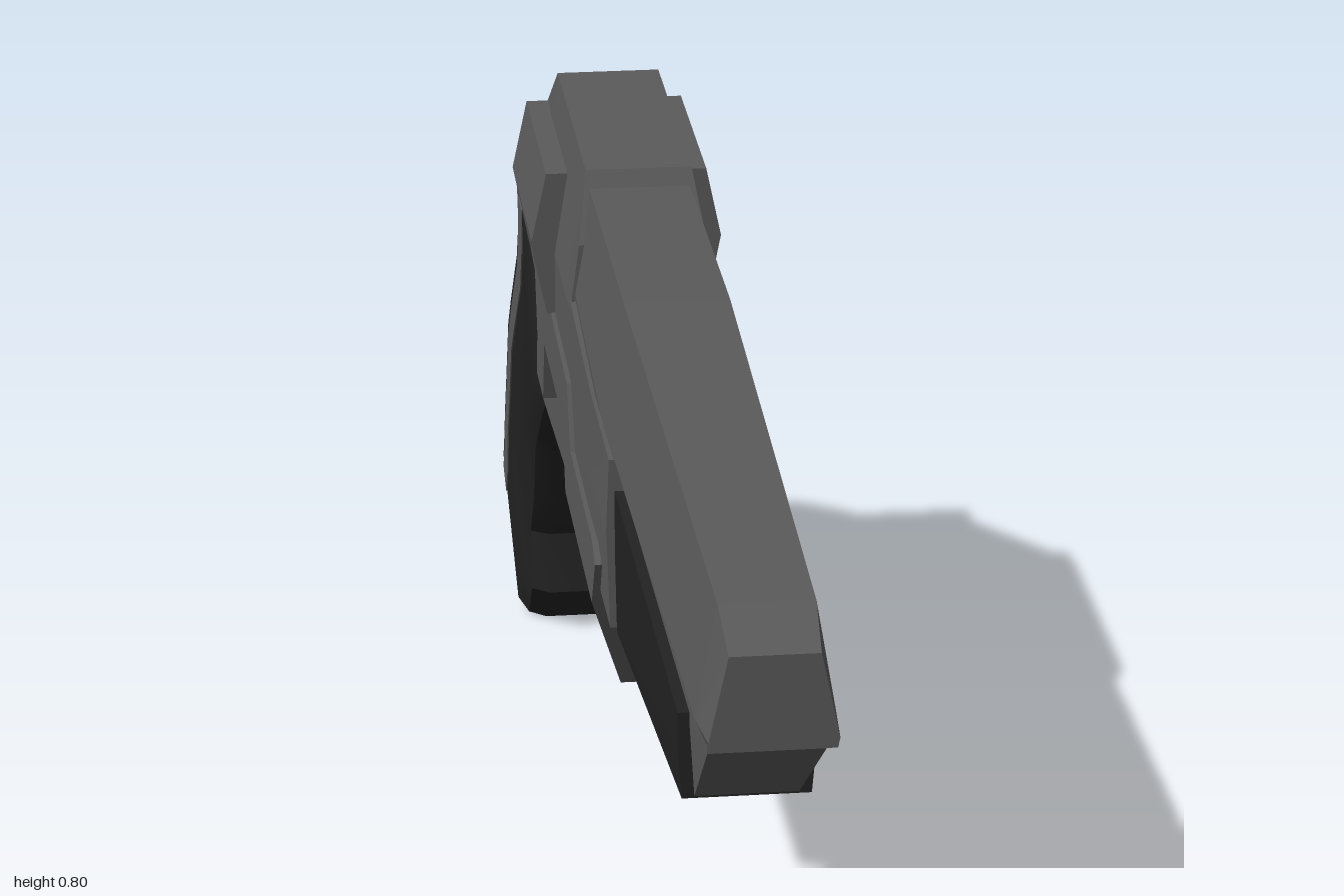
import * as THREE from 'three';
import { toCreasedNormals } from 'three/addons/utils/BufferGeometryUtils.js';

const metal = new THREE.MeshStandardMaterial({ color: 0x5a5a5a });
const black = new THREE.MeshStandardMaterial({ color: 0x222222 });

// Skin a list of equal-length rings (each counter-clockwise seen from the first end) and cap both ends.
function loft(rings) {
  const pos = [];
  const tri = (...pts) => pts.forEach((p) => pos.push(...p));
  const n = rings[0].length, last = rings[rings.length - 1];
  for (let i = 0; i < rings.length - 1; i++) {
    for (let j = 0; j < n; j++) {
      const k = (j + 1) % n;
      const a = rings[i][j], b = rings[i][k], c = rings[i + 1][k], d = rings[i + 1][j];
      tri(a, c, b);
      tri(a, d, c);
    }
  }
  for (let j = 1; j < n - 1; j++) {
    tri(rings[0][0], rings[0][j], rings[0][j + 1]);
    tri(last[0], last[j + 1], last[j]);
  }
  const geo = new THREE.BufferGeometry();
  geo.setAttribute('position', new THREE.Float32BufferAttribute(pos, 3));
  geo.computeVertexNormals();
  return geo;
}

// Six-sided section at z: half-width and height of its top, middle and bottom.
const section = (z, wt, yt, wm, ym, wb, yb) => [
  [-wb, yb, z], [wb, yb, z], [wm, ym, z], [wt, yt, z], [-wt, yt, z], [-wm, ym, z],
];
const sections = (rows) => loft(rows.map((r) => section(...r)));

// Side outline of [z, y] points given a half-width that may depend on height.
function plate(points, halfWidth) {
  const shape = new THREE.Shape(points.map(([z, y]) => new THREE.Vector2(z, y)));
  const geo = new THREE.ExtrudeGeometry(shape, { depth: 2, bevelEnabled: false });
  geo.translate(0, 0, -1).rotateY(-Math.PI / 2);
  const p = geo.attributes.position;
  for (let i = 0; i < p.count; i++) p.setX(i, Math.sign(p.getX(i)) * halfWidth(p.getY(i)));
  geo.computeVertexNormals();
  return geo;
}

export function createModel() {
  const model = new THREE.Group();
  model.name = 'pistol';
  const add = (name, geo, mat) => {
    const mesh = new THREE.Mesh(geo, mat);
    mesh.name = name;
    model.add(mesh);
  };

  // Tapered barrel with a chamfered muzzle
  add('barrel', sections([
    [1, 0.042, 0.755, 0.06, 0.67, 0.058, 0.66],
    [0.94, 0.045, 0.78, 0.065, 0.665, 0.055, 0.64],
    [0.22, 0.055, 0.793, 0.078, 0.665, 0.07, 0.635],
    [-0.15, 0.055, 0.787, 0.074, 0.68, 0.07, 0.62],
  ]), metal);

  // Core under the barrel with its sloping nose, and the dark fore-end around it
  add('underBarrel', sections([
    [0.95, 0.055, 0.65, 0.055, 0.642, 0.055, 0.635],
    [0.81, 0.055, 0.65, 0.055, 0.6, 0.05, 0.522],
    [0.25, 0.06, 0.65, 0.06, 0.6, 0.06, 0.46],
  ]), metal);
  add('foreEnd', sections([
    [0.81, 0.066, 0.61, 0.066, 0.57, 0.062, 0.52],
    [0.27, 0.07, 0.605, 0.07, 0.54, 0.068, 0.445],
  ]), black);

  // Receiver: low front part, then the raised rear with a sloping back
  add('receiverFront', sections([
    [0.27, 0.076, 0.64, 0.079, 0.56, 0.075, 0.45],
    [0.11, 0.08, 0.655, 0.081, 0.56, 0.081, 0.47],
    [-0.11, 0.08, 0.67, 0.081, 0.58, 0.081, 0.52],
  ]), metal);
  add('receiverRear', sections([
    [-0.105, 0.07, 0.735, 0.08, 0.66, 0.081, 0.52],
    [-0.15, 0.058, 0.805, 0.081, 0.66, 0.081, 0.52],
    [-0.48, 0.058, 0.805, 0.081, 0.66, 0.081, 0.52],
    [-0.72, 0.06, 0.625, 0.081, 0.6, 0.081, 0.55],
  ]), metal);

  // Ridged plates standing out on both sides
  add('sidePlates', sections([
    [-0.28, 0.09, 0.755, 0.107, 0.675, 0.09, 0.588],
    [-0.53, 0.09, 0.755, 0.107, 0.675, 0.09, 0.588],
  ]), metal);

  // Frame, split at mid-guard so the lower half can taper
  add('frame', plate([
    [0.183, 0.44], [-0.115, 0.44], [-0.14, 0.5], [-0.17, 0.515], [-0.37, 0.515], [-0.39, 0.44],
    [-0.5, 0.44], [-0.72, 0.55], [-0.74, 0.615], [-0.68, 0.615], [-0.3, 0.59], [-0.09, 0.58],
    [-0.05, 0.515], [0.19, 0.515], [0.22, 0.5],
  ], () => 0.086), metal);
  add('triggerGuard', plate([
    [0.183, 0.44], [0.1, 0.305], [-0.38, 0.3], [-0.45, 0.375], [-0.46, 0.44], [-0.39, 0.44],
    [-0.37, 0.365], [-0.29, 0.335], [-0.19, 0.345], [-0.13, 0.395], [-0.115, 0.44],
  ], (y) => 0.086 - (0.44 - y) * 0.29), metal);

  // Curved trigger
  add('trigger', plate([
    [-0.28, 0.52], [-0.305, 0.485], [-0.315, 0.45], [-0.305, 0.415], [-0.285, 0.38],
    [-0.32, 0.4], [-0.345, 0.45], [-0.36, 0.52],
  ], () => 0.02), metal);

  // Grip: front and back points [z, y] from top to bottom
  const stations = [
    [-0.46, 0.56, -0.72, 0.59], [-0.43, 0.49, -0.735, 0.54], [-0.445, 0.41, -0.76, 0.5],
    [-0.5, 0.37, -0.81, 0.45], [-0.555, 0.325, -0.86, 0.4], [-0.61, 0.28, -0.9, 0.355],
    [-0.64, 0.2, -0.94, 0.27], [-0.69, 0.135, -0.965, 0.215], [-0.68, 0.06, -0.99, 0.165],
    [-0.73, 0.005, -1, 0.14],
  ];
  // half holds [fraction front to back, half-width]; it is mirrored to close the ring
  const gripLoft = (half) => loft(stations.map(([fz, fy, bz, by]) => {
    const side = half.map(([t, x]) => [x, fy + (by - fy) * t, fz + (bz - fz) * t]);
    return [...side, ...side.map(([x, y, z]) => [-x, y, z]).reverse()];
  }));
  add('grip', toCreasedNormals(gripLoft([
    [0, 0.055], [0.03, 0.076], [0.11, 0.0875], [0.89, 0.0875], [0.97, 0.076], [1, 0.055],
  ]), 0.55), black);
  add('gripStrip', gripLoft([[0.69, 0.089], [0.83, 0.089]]), metal);

  return model;
}
